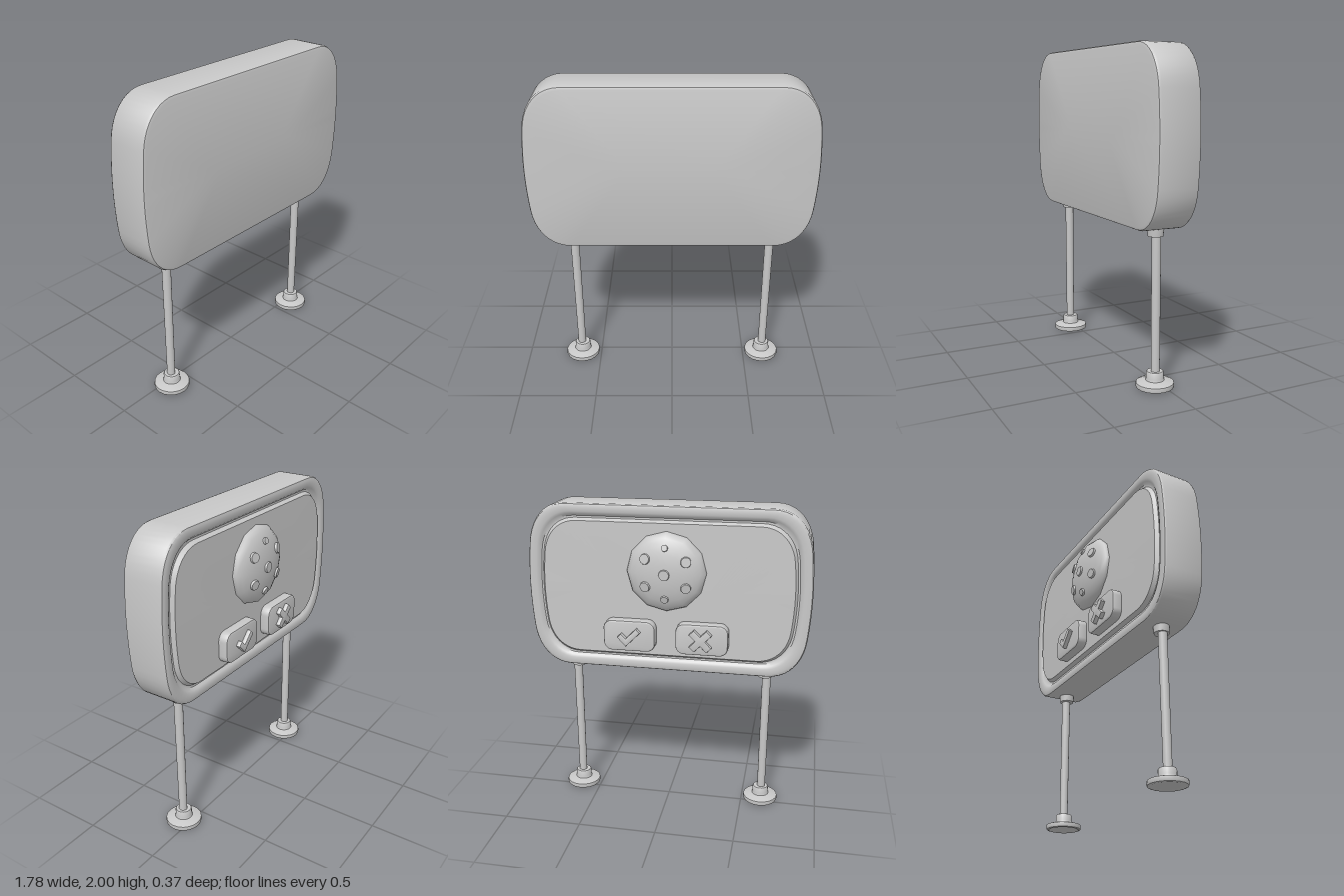
import * as THREE from 'three';
import { toCreasedNormals } from 'three/addons/utils/BufferGeometryUtils.js';

export function createModel() {
  const model = new THREE.Group();
  const grey = new THREE.MeshStandardMaterial({ color: 0xc8c8c8 });
  grey.name = 'light grey';

  function add(parent, name, geometry, x = 0, y = 0, z = 0) {
    const mesh = new THREE.Mesh(geometry, grey);
    mesh.name = name;
    mesh.position.set(x, y, z);
    parent.add(mesh);
    return mesh;
  }

  // Board outline: one quarter, mirrored four ways, counterclockwise from +x
  const halfW = 0.89, halfH = 0.525;
  const side = new THREE.QuadraticBezierCurve(
    new THREE.Vector2(0.89, 0), new THREE.Vector2(0.89, 0.13), new THREE.Vector2(0.875, 0.27));
  const corner = new THREE.CubicBezierCurve(
    new THREE.Vector2(0.875, 0.27), new THREE.Vector2(0.86, 0.42),
    new THREE.Vector2(0.77, 0.525), new THREE.Vector2(0.64, 0.525));
  const quarter = [...side.getPoints(4), ...corner.getPoints(10).slice(1)];
  const flip = (sx, sy) => quarter.map((p) => [p.x * sx, p.y * sy]);
  const outline = [
    ...flip(1, 1),
    ...flip(-1, 1).reverse(),
    ...flip(-1, -1).slice(1),
    ...flip(1, -1).reverse().slice(0, -1),
  ];

  // Board: outline lofted through [inset, z] rings, with a grooved rim at the back
  const rings = [
    [halfH, 0.18], [0.02, 0.18], [0.006, 0.175], [0, 0.16],
    [0, -0.07], [0.006, -0.081], [0.02, -0.085], [0.05, -0.085],
    [0.065, -0.078], [0.078, -0.064], [0.09, -0.064], [0.105, -0.088], [halfH, -0.09],
  ];
  const positions = [], indices = [], n = outline.length;
  for (const [inset, z] of rings) {
    for (const [x, y] of outline) {
      positions.push(x * (1 - inset / halfW), y * (1 - inset / halfH), z);
    }
  }
  for (let k = 0; k < rings.length - 1; k++) {
    for (let j = 0; j < n; j++) {
      const a = k * n + j, b = k * n + (j + 1) % n;
      indices.push(a, a + n, b + n, a, b + n, b);
    }
  }
  const boardGeometry = new THREE.BufferGeometry();
  boardGeometry.setAttribute('position', new THREE.Float32BufferAttribute(positions, 3));
  boardGeometry.setIndex(indices);
  add(model, 'board', toCreasedNormals(boardGeometry, 0.75), 0, 1.475, 0);

  // Back details, built facing +z and turned to face the rear
  const back = new THREE.Group();
  back.name = 'backDetails';
  back.rotation.y = Math.PI;
  back.position.z = -0.085;
  model.add(back);

  // Dome
  const radius = 0.25, depth = 0.093;
  const domeGeometry = new THREE.SphereGeometry(radius, 12, 6, 0, Math.PI * 2, 0, Math.PI / 2);
  domeGeometry.rotateX(Math.PI / 2).scale(1, 1, depth / radius);
  add(back, 'dome', domeGeometry, 0, 1.6, 0);

  // Raised spots on the dome: [x, y, radius]
  const spots = [
    [0, 0, 0.037], [0, 0.16, 0.023], [0, -0.155, 0.027],
    [-0.12, 0.09, 0.036], [0.13, 0.08, 0.036], [-0.12, -0.08, 0.036], [0.13, -0.08, 0.035],
  ];
  for (const [x, y, r] of spots) {
    const z = depth * Math.sqrt(1 - (x * x + y * y) / radius ** 2);
    const normal = new THREE.Vector3(x / radius ** 2, y / radius ** 2, z / depth ** 2).normalize();
    const spotGeometry = toCreasedNormals(new THREE.CylinderGeometry(r * 0.85, r, 0.024, 12), 0.7);
    const spot = add(back, 'domeSpot', spotGeometry, x, 1.6 + y, z - 0.002);
    spot.quaternion.setFromUnitVectors(new THREE.Vector3(0, 1, 0), normal);
  }

  // Buttons: rounded plates with bevelled edges
  function plate(shape, thickness, bevel) {
    return toCreasedNormals(new THREE.ExtrudeGeometry(shape, {
      depth: thickness - bevel, bevelThickness: bevel, bevelSize: bevel,
      bevelOffset: -bevel, bevelSegments: 2, curveSegments: 5,
    }), 0.7);
  }
  const w = 0.165, h = 0.1, r = 0.055;
  const buttonShape = new THREE.Shape();
  buttonShape.moveTo(w, h - r);
  buttonShape.absarc(w - r, h - r, r, 0, Math.PI / 2);
  buttonShape.absarc(r - w, h - r, r, Math.PI / 2, Math.PI);
  buttonShape.absarc(r - w, r - h, r, Math.PI, Math.PI * 1.5);
  buttonShape.absarc(w - r, r - h, r, Math.PI * 1.5, Math.PI * 2);
  const buttonGeometry = plate(buttonShape, 0.065, 0.012);
  add(back, 'confirmButton', buttonGeometry, -0.23, 1.19, 0);
  add(back, 'cancelButton', buttonGeometry, 0.23, 1.19, 0);

  // Button symbols: an L and a plus, each turned 45 degrees
  const polygon = (points) => new THREE.Shape(points.map(([x, y]) => new THREE.Vector2(x, y)));
  const t = 0.036, c = 0.022, e = 0.078;
  const tick = polygon([[0, 0], [0.13, 0], [0.13, t], [t, t], [t, 0.08], [0, 0.08]]);
  const cross = polygon([
    [e, -c], [e, c], [c, c], [c, e], [-c, e], [-c, c],
    [-e, c], [-e, -c], [-c, -c], [-c, -e], [c, -e], [c, -c],
  ]);
  add(back, 'tickSymbol', plate(tick, 0.03, 0.004), -0.245, 1.13, 0.062).rotation.z = Math.PI / 4;
  add(back, 'crossSymbol', plate(cross, 0.03, 0.004), 0.225, 1.19, 0.062).rotation.z = Math.PI / 4;

  // Legs: pole, top collar and foot with socket
  for (const s of [1, -1]) {
    const leg = new THREE.Group();
    leg.name = s > 0 ? 'leftLeg' : 'rightLeg';
    leg.position.set(s * 0.628, 0, 0.045);
    model.add(leg);

    add(leg, 'pole', new THREE.CylinderGeometry(0.028, 0.026, 0.9, 16), s * 0.004, 0.51, 0);
    add(leg, 'topCollar', toCreasedNormals(
      new THREE.CylinderGeometry(0.05, 0.046, 0.05, 16), 0.7), -s * 0.006, 0.932, 0);

    const profile = [
      [0, s > 0 ? 0.028 : 0.004], [0.045, s > 0 ? 0.025 : 0.004], [0.1, 0], [0.112, 0.004],
      [0.115, 0.014], [0.113, 0.032], [0.095, 0.038], [0.056, 0.046],
      [0.052, 0.06], [0.052, 0.094], [0.048, 0.1], [0, 0.1],
    ].map(([x, y]) => new THREE.Vector2(x, y));
    add(leg, 'foot', toCreasedNormals(new THREE.LatheGeometry(profile, 20), 0.7));
  }

  return model;
}
